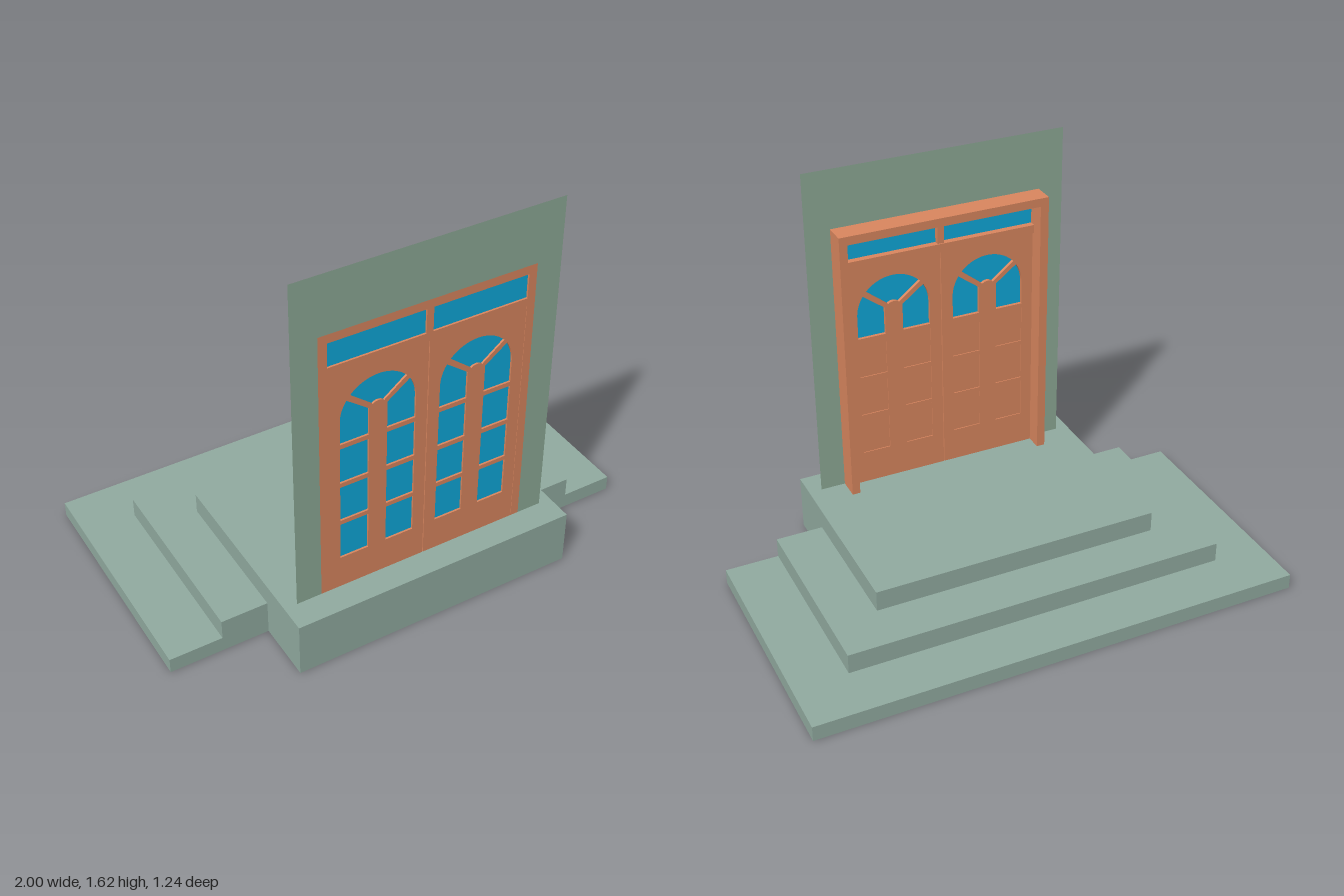
import * as THREE from 'three';

const stone = new THREE.MeshStandardMaterial({ color: 0x93ada2 });
const plaster = new THREE.MeshStandardMaterial({ color: 0x8fac98, side: THREE.DoubleSide });
const wood = new THREE.MeshStandardMaterial({ color: 0xdc8860 });
const glass = new THREE.MeshStandardMaterial({ color: 0x0fabdd, side: THREE.DoubleSide });

const FRONT = 0.51, FLOOR = 0.23, MID = -0.003;

function add(parent, name, geometry, material) {
  const mesh = new THREE.Mesh(geometry, material);
  mesh.name = name;
  parent.add(mesh);
  return mesh;
}

// Box given by its limits on each axis
function box(parent, name, material, x0, x1, y0, y1, z0, z1) {
  const mesh = add(parent, name, new THREE.BoxGeometry(x1 - x0, y1 - y0, z1 - z0), material);
  mesh.position.set((x0 + x1) / 2, (y0 + y1) / 2, (z0 + z1) / 2);
  return mesh;
}

function rect(x0, x1, y0, y1) {
  return [[x0, y0], [x1, y0], [x1, y1], [x0, y1]].map(([x, y]) => new THREE.Vector2(x, y));
}

function arc(cy, r, from, to, n = 12) {
  return Array.from({ length: n + 1 }, (_, i) => {
    const a = THREE.MathUtils.degToRad(from + (to - from) * i / n);
    return new THREE.Vector2(r * Math.cos(a), cy + r * Math.sin(a));
  });
}

// Pane outlines of one door leaf, about its centre line
function leafPanes() {
  const inner = 0.037, outer = 0.153, spring = 0.992;
  const rows = [[0.37, 0.53], [0.548, 0.703], [0.722, 0.876]];
  const square = [], arched = [];
  for (const [y0, y1] of rows) {
    square.push(rect(inner, outer, y0, y1), rect(-outer, -inner, y0, y1));
  }
  const side = [
    new THREE.Vector2(inner, 0.895), new THREE.Vector2(outer, 0.895),
    ...arc(spring, outer, 0, 34), new THREE.Vector2(inner, 1.01),
  ];
  arched.push(side, side.map(p => new THREE.Vector2(-p.x, p.y)).reverse());
  arched.push([...arc(spring, outer, 42, 138, 20), ...arc(0.995, 0.036, 130, 50, 8)]);
  return { square, arched };
}

function createLeaf(name, centre) {
  const leaf = new THREE.Group();
  leaf.name = name;
  leaf.position.x = centre;
  const { square, arched } = leafPanes();
  const panes = [...square, ...arched];

  // Wooden leaf pierced by its panes
  const shape = new THREE.Shape(rect(-0.201, 0.201, FLOOR, 1.205));
  for (const p of panes) shape.holes.push(new THREE.Path(p));
  const board = new THREE.ExtrudeGeometry(shape, { depth: 0.022, bevelEnabled: false });
  add(leaf, 'leafBoard', board, wood).position.z = FRONT - 0.022;

  // Glass in every opening
  const glazing = new THREE.ShapeGeometry(panes.map(p => new THREE.Shape(p)));
  add(leaf, 'leafGlass', glazing, glass).position.z = FRONT - 0.008;

  // Wooden panels behind the square panes
  for (const p of square) {
    box(leaf, 'backPanel', wood, p[0].x, p[1].x, p[0].y, p[2].y, FRONT - 0.018, FRONT - 0.011);
  }
  return leaf;
}

export function createModel() {
  const model = new THREE.Group();
  model.name = 'entrance';

  // Stepped base
  box(model, 'lowerStep', stone, -1, 1, 0, 0.063, -0.62, 0.375);
  box(model, 'middleStep', stone, -0.785, 0.782, 0, 0.145, -0.41, 0.375);
  box(model, 'landing', stone, -0.595, 0.59, 0, FLOOR, -0.217, 0.62);

  // Thin wall with the door opening
  const wall = new THREE.Shape([
    [-0.543, FLOOR], [-0.44, FLOOR], [-0.44, 1.375], [0.435, 1.375],
    [0.435, FLOOR], [0.537, FLOOR], [0.537, 1.615], [-0.543, 1.615],
  ].map(([x, y]) => new THREE.Vector2(x, y)));
  add(model, 'wall', new THREE.ShapeGeometry(wall), plaster).position.z = FRONT;

  // Door frame
  const frame = new THREE.Group();
  frame.name = 'doorFrame';
  model.add(frame);
  const back = 0.42;
  box(frame, 'jamb', wood, -0.44, -0.405, FLOOR, 1.34, back, FRONT);
  box(frame, 'jamb', wood, 0.402, 0.435, FLOOR, 1.34, back, FRONT);
  box(frame, 'lintel', wood, -0.44, 0.435, 1.34, 1.375, back, FRONT);
  box(frame, 'transomBar', wood, -0.405, 0.402, 1.205, 1.24, FRONT - 0.035, FRONT);
  box(frame, 'transomMullion', wood, MID - 0.014, MID + 0.014, 1.24, 1.34, FRONT - 0.03, FRONT);

  // Leaves and transom lights on both sides
  for (const s of [-1, 1]) {
    const side = s > 0 ? 'left' : 'right';
    model.add(createLeaf(side + 'Leaf', MID + s * 0.2025));
    const light = add(model, side + 'TransomLight', new THREE.PlaneGeometry(0.392, 0.1), glass);
    light.position.set(MID + s * 0.21, 1.29, FRONT - 0.008);
  }
  return model;
}
